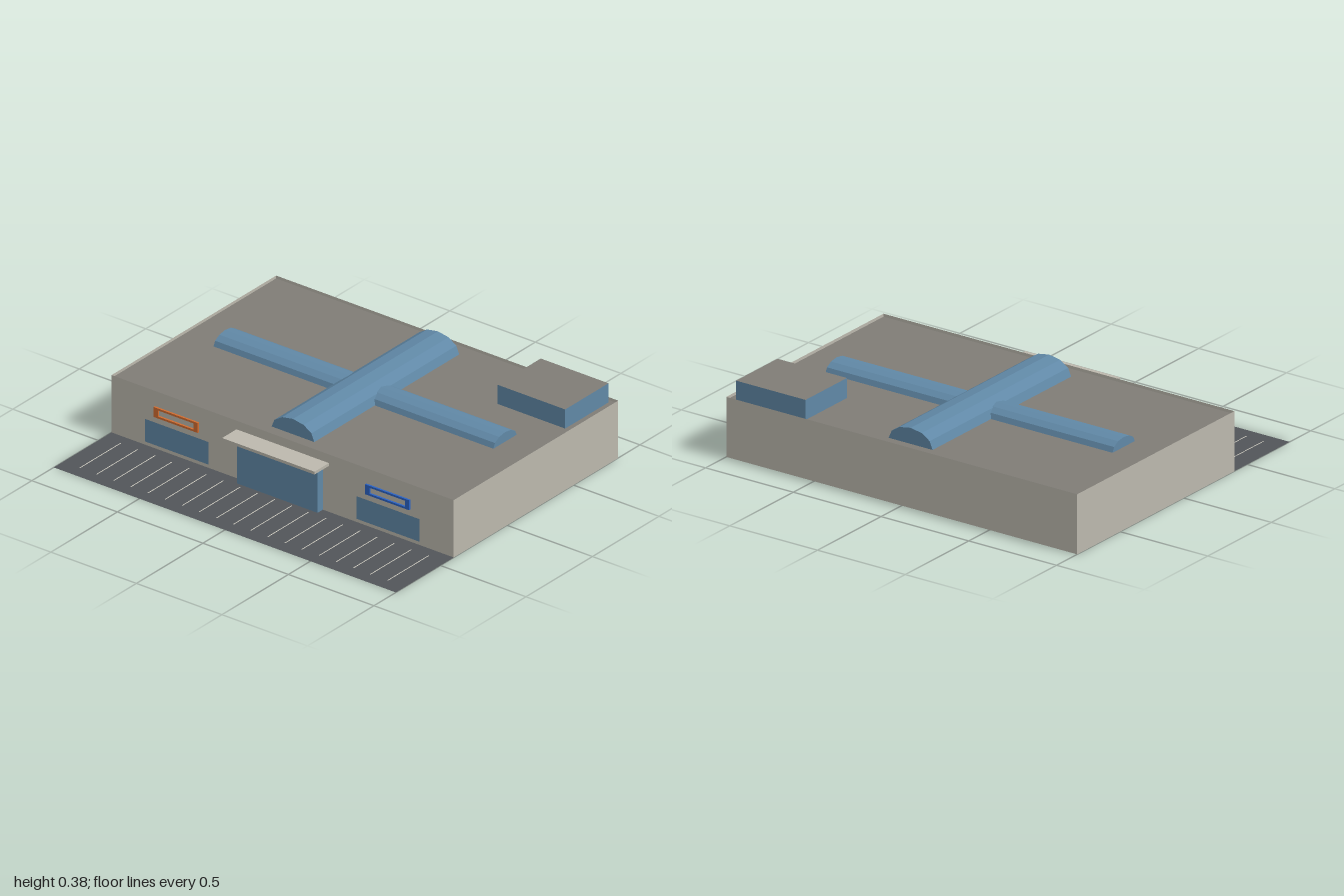
import * as THREE from 'three';

const material = (name, color, side = THREE.FrontSide) => {
  const m = new THREE.MeshStandardMaterial({ color, side });
  m.name = name;
  return m;
};

export function createModel() {
  const wall = material('wall', 0xbcb8ad, THREE.DoubleSide);
  const roof = material('roof', 0x7f7c76, THREE.DoubleSide);
  const glass = material('glass', 0x6088a6);
  const asphalt = material('asphalt', 0x525559, THREE.DoubleSide);
  const paint = material('linePaint', 0xd2cec2);
  const orange = material('orangeSign', 0xd06c30);
  const blue = material('blueSign', 0x2a62c4);

  const model = new THREE.Group();
  model.name = 'shoppingCentre';

  const add = (name, geometry, mat, x, y, z) => {
    const mesh = new THREE.Mesh(geometry, mat);
    mesh.name = name;
    mesh.position.set(x, y, z);
    model.add(mesh);
    return mesh;
  };
  const box = (name, mat, x0, x1, y0, y1, z0, z1) =>
    add(name, new THREE.BoxGeometry(x1 - x0, y1 - y0, z1 - z0), mat,
      (x0 + x1) / 2, (y0 + y1) / 2, (z0 + z1) / 2);
  const flat = (name, mat, x0, x1, y, z0, z1) =>
    add(name, new THREE.PlaneGeometry(x1 - x0, z1 - z0).rotateX(-Math.PI / 2), mat,
      (x0 + x1) / 2, y, (z0 + z1) / 2);

  // Hollow shell: thin walls rising just above the roof deck, open below
  const back = -0.837, front = 0.4, height = 0.3, deck = 0.285;
  const depth = front - back, middle = (front + back) / 2;
  add('frontWall', new THREE.PlaneGeometry(2, height), wall, 0, height / 2, front);
  add('backWall', new THREE.PlaneGeometry(2, height), wall, 0, height / 2, back).rotation.y = Math.PI;
  for (const s of [-1, 1]) {
    add(s > 0 ? 'leftWall' : 'rightWall', new THREE.PlaneGeometry(depth, height), wall,
      s, height / 2, middle).rotation.y = s * Math.PI / 2;
  }
  flat('roofDeck', roof, -1, 1, deck, back, front);

  // Six-sided barrel skylights crossing on the roof
  const vault = (halfWidth, rise, length) => {
    const points = [];
    for (let i = 0; i <= 6; i++) {
      const a = i * Math.PI / 6;
      points.push(new THREE.Vector2(halfWidth * Math.cos(a), rise * Math.sin(a)));
    }
    return new THREE.ExtrudeGeometry(new THREE.Shape(points), { depth: length, bevelEnabled: false })
      .translate(0, 0, -length / 2);
  };
  add('mainSkylight', vault(0.125, 0.08, 1.09), glass, 0, deck, -0.222);
  add('crossSkylight', vault(0.0875, 0.05, 1.636), glass, 0, deck, -0.22).rotation.y = Math.PI / 2;

  // Rooftop block with glazed sides and a roof-coloured top
  box('rooftopBlock', [glass, glass, roof, roof, glass, glass], 0.562, 0.958, deck, 0.385, -0.818, -0.492);

  // Entrance and canopy
  box('entrance', glass, -0.235, 0.235, 0, 0.24, front, 0.44);
  box('canopy', wall, -0.27, 0.27, 0.24, 0.255, front, 0.508);

  // Shop windows and framed signs on either side
  for (const s of [-1, 1]) {
    const side = s > 0 ? 'left' : 'right';
    add(side + 'ShopWindow', new THREE.PlaneGeometry(0.37, 0.118), glass, s * 0.617, 0.077, front + 0.002);
    const frame = new THREE.Shape();
    frame.moveTo(-0.129, -0.026).lineTo(0.129, -0.026).lineTo(0.129, 0.026).lineTo(-0.129, 0.026).closePath();
    const hole = new THREE.Path();
    hole.moveTo(-0.104, -0.016).lineTo(-0.104, 0.016).lineTo(0.104, 0.016).lineTo(0.104, -0.016).closePath();
    frame.holes.push(hole);
    add(side + 'SignFrame', new THREE.ExtrudeGeometry(frame, { depth: 0.01, bevelEnabled: false }),
      s > 0 ? blue : orange, s * 0.618, 0.194, front);
  }

  // Car park with painted bays
  flat('carPark', asphalt, -1, 1, 0, front, 0.835);
  for (let i = -9; i <= 9; i++) {
    flat('bayLine', paint, i * 0.1 - 0.0025, i * 0.1 + 0.0025, 0.002, 0.46, 0.77);
  }
  return model;
}
